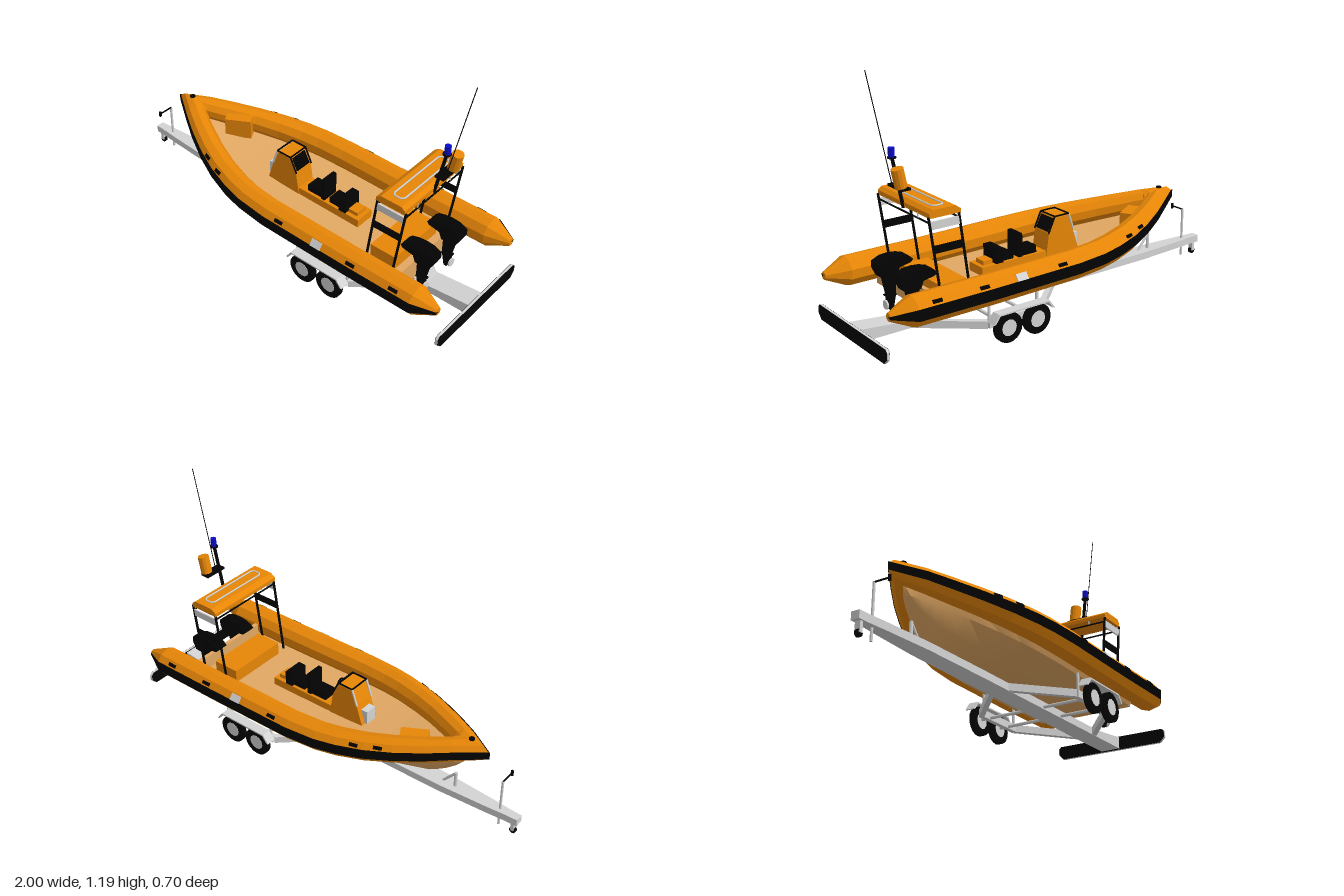
import * as THREE from 'three';
import { toCreasedNormals } from 'three/addons/utils/BufferGeometryUtils.js';

const mat = (name, color, side = THREE.FrontSide) => {
  const m = new THREE.MeshStandardMaterial({ color, side });
  m.name = name;
  return m;
};
const V = (x, y, z) => new THREE.Vector3(x, y, z);

export function createModel() {
  const root = new THREE.Group();
  root.name = 'boatOnTrailer';
  const orange = mat('orange', 0xea8807), tan = mat('tan', 0xe2a863, THREE.DoubleSide);
  const black = mat('black', 0x030303), grey = mat('lightGrey', 0xd4d4d4, THREE.DoubleSide);
  const blue = mat('blue', 0x0a0acc);

  const add = (name, geo, m, x = 0, y = 0, z = 0) => {
    const mesh = new THREE.Mesh(geo, m);
    mesh.name = name;
    mesh.position.set(x, y, z);
    root.add(mesh);
    return mesh;
  };
  // Box given by its limits
  const box = (name, m, x0, x1, y0, y1, z0, z1) =>
    add(name, new THREE.BoxGeometry(x1 - x0, y1 - y0, z1 - z0), m, (x0 + x1) / 2, (y0 + y1) / 2, (z0 + z1) / 2);
  const rod = (name, m, a, b, r, sides = 8) => {
    const mesh = add(name, new THREE.CylinderGeometry(r, r, a.distanceTo(b), sides), m);
    mesh.position.copy(a).add(b).multiplyScalar(0.5);
    mesh.quaternion.setFromUnitVectors(V(0, 1, 0), b.clone().sub(a).normalize());
    return mesh;
  };
  const bar = (name, m, a, b, w, h) => {
    const mesh = add(name, new THREE.BoxGeometry(w, h, a.distanceTo(b)), m);
    mesh.position.copy(a).add(b).multiplyScalar(0.5);
    mesh.lookAt(b);
    return mesh;
  };
  // Side outline (x, y) extruded across z
  const slab = (name, m, pts, z0, z1) => add(name, new THREE.ExtrudeGeometry(
    new THREE.Shape(pts.map(p => new THREE.Vector2(...p))), { depth: z1 - z0, bevelEnabled: false }), m, 0, 0, z0);
  // Skin over rows of cross-section points
  const loft = (rows, crease = 0) => {
    const n = rows[0].length, idx = [];
    for (let i = 0; i < rows.length - 1; i++) for (let j = 0; j < n - 1; j++) {
      const a = i * n + j, d = a + n;
      idx.push(a, a + 1, d + 1, a, d + 1, d);
    }
    let g = new THREE.BufferGeometry().setFromPoints(rows.flat());
    g.setIndex(idx);
    if (crease) return toCreasedNormals(g, crease);
    g = g.toNonIndexed();
    g.computeVertexNormals();
    return g;
  };

  // Tube centreline, stern to bow: x, y, z, radius
  const half = [
    [0.976, 0.255, 0.277, 0.001], [0.975, 0.255, 0.277, 0.018], [0.87, 0.255, 0.279, 0.069], [0.5, 0.255, 0.279, 0.069],
    [0.05, 0.261, 0.279, 0.068], [-0.1, 0.267, 0.268, 0.067], [-0.2, 0.275, 0.249, 0.066], [-0.32, 0.287, 0.214, 0.064],
    [-0.44, 0.303, 0.165, 0.061], [-0.56, 0.322, 0.104, 0.058], [-0.66, 0.341, 0.047, 0.054]];
  const path = [...half, [-0.73, 0.355, 0, 0.05], ...half.map(p => [p[0], p[1], -p[2], p[3]]).reverse()];
  const sweep = profile => loft(path.map(([x, y, z, r], i) => {
    const p = path[Math.max(i - 1, 0)], q = path[Math.min(i + 1, path.length - 1)];
    const n = V(q[2] - p[2], 0, p[0] - q[0]).normalize();
    const k = z === 0 ? 1.92 : 1;
    return profile.map(([deg, s]) => {
      const t = deg * Math.PI / 180;
      return V(x, y + r * s * Math.sin(t), z).addScaledVector(n, r * s * k * Math.cos(t));
    });
  }));
  add('inflatableTube', sweep(Array.from({ length: 11 }, (_, k) => [18 + 36 * k, 1])), orange);
  add('rubbingStrake', sweep([[-19, 0.98], [-19, 1.04], [20, 1.06], [23, 0.96]]), black);

  // Centreline values at a given x
  const at = x => {
    const pts = [...half.slice(1), [-0.73, 0.355, 0, 0.05]];
    let i = 0;
    while (i < pts.length - 2 && pts[i + 1][0] > x) i++;
    const a = pts[i], b = pts[i + 1], t = (x - a[0]) / (b[0] - a[0]);
    return { y: a[1] + (b[1] - a[1]) * t, z: a[2] + (b[2] - a[2]) * t, r: a[3] + (b[3] - a[3]) * t,
      dir: V(a[0] - b[0], 0, a[2] - b[2]).normalize() };
  };

  // Hull, deck and transom
  const stations = [[-0.728, 0.31], [-0.7, 0.26], [-0.66, 0.215], [-0.61, 0.172], [-0.56, 0.138], [-0.52, 0.114],
    [-0.46, 0.103], [-0.32, 0.1], [-0.2, 0.1], [-0.1, 0.1], [0.05, 0.1], [0.45, 0.104], [0.73, 0.172]];
  add('hull', loft(stations.map(([x, k]) => {
    const { y, z: w } = at(x);
    const chine = Math.max(y - 0.08, k + 0.006);
    const side = [[w, y - 0.02], [w * 0.88, chine], [w * 0.5, k + (chine - k) * 0.45]];
    return [...side.map(p => V(x, p[1], p[0])), V(x, k, 0), ...side.reverse().map(p => V(x, p[1], -p[0]))];
  }), 0.6), tan);
  add('deck', loft(stations.map(([x]) => {
    const { y, z } = at(x);
    return [V(x, y - 0.048, -z * 0.94), V(x, y - 0.048, z * 0.94)];
  })), tan);
  box('transom', tan, 0.715, 0.735, 0.175, 0.275, -0.245, 0.245);

  // Handles and valve patches on the tubes
  for (const s of [1, -1]) for (const [x, w, h, m] of [[-0.38, 0.04, 0.016, black], [-0.28, 0.04, 0.016, black],
    [0.14, 0.045, 0.016, black], [0.36, 0.055, 0.034, grey], [0.55, 0.045, 0.016, black], [0.78, 0.045, 0.016, black]]) {
    const { y, z, r, dir } = at(x), c = Math.cos(Math.PI / 5), e = Math.sin(Math.PI / 5);
    const t = V(dir.x, 0, dir.z * s);
    const n = V(-dir.z * c, e, dir.x * c * s);
    const patch = add('tubePatch', new THREE.BoxGeometry(w, 0.008, h), m);
    patch.quaternion.setFromRotationMatrix(new THREE.Matrix4().makeBasis(t, n, t.clone().cross(n)));
    patch.position.set(x, y, z * s).addScaledVector(n, r * 0.955);
  }
  add('bowCleat', new THREE.CylinderGeometry(0.014, 0.014, 0.006, 10), black, -0.73, 0.405, 0);
  const locker = add('bowLocker', new THREE.BoxGeometry(0.13, 0.1, 0.06), orange, -0.48, 0.305, -0.07);
  locker.rotation.y = Math.PI / 6;

  // Steering console
  slab('console', orange, [[-0.18, 0.2], [-0.14, 0.325], [-0.11, 0.4], [-0.035, 0.4], [0, 0.33], [0.02, 0.2]], -0.053, 0.053);
  bar('dashboard', black, V(-0.032, 0.396, 0), V(-0.002, 0.336, 0), 0.086, 0.008);
  for (const s of [1, -1]) {
    const z = s * 0.053;
    rod('windscreenFrame', grey, V(-0.142, 0.325, z), V(-0.114, 0.405, z), 0.005);
    rod('grabRail', black, V(-0.114, 0.407, z), V(-0.033, 0.407, z), 0.004);
    rod('grabRailEnd', black, V(-0.033, 0.407, z), V(0.003, 0.33, z), 0.004);
  }
  for (const x of [-0.114, -0.033]) rod('grabRailCross', black, V(x, 0.407, -0.053), V(x, 0.407, 0.053), 0.004);
  box('footPlate', grey, -0.185, -0.15, 0.22, 0.295, -0.03, 0.03);
  const wheel = add('steeringWheel', new THREE.TorusGeometry(0.022, 0.004, 6, 16), black, -0.005, 0.365, 0);
  wheel.rotation.set(0, Math.PI / 2, 0);

  // Straddle seats
  box('seatBase', orange, 0.015, 0.37, 0.2, 0.25, -0.05, 0.05);
  box('frontCushion', black, 0.06, 0.16, 0.25, 0.285, -0.035, 0.035);
  box('frontBackrest', black, 0.145, 0.165, 0.25, 0.362, -0.043, 0.043);
  box('rearCushion', black, 0.19, 0.27, 0.25, 0.28, -0.035, 0.035);
  box('rearBackrest', black, 0.255, 0.295, 0.25, 0.32, -0.05, 0.05);
  box('rearStep', orange, 0.3, 0.35, 0.25, 0.27, -0.03, 0.03);
  box('sternBench', orange, 0.525, 0.66, 0.2, 0.274, -0.155, 0.155);

  // Roof frame
  for (const s of [1, -1]) {
    const z = s * 0.205;
    rod('frontLeg', black, V(0.535, 0.21, z), V(0.587, 0.597, z), 0.006);
    rod('rearLeg', black, V(0.678, 0.21, z), V(0.733, 0.6, z), 0.006);
    slab('sidePanel', black, [[0.563, 0.44], [0.709, 0.44], [0.714, 0.473], [0.568, 0.473]], z - 0.004, z + 0.004);
    slab('sideBoard', grey, [[0.58, 0.545], [0.725, 0.545], [0.729, 0.58], [0.585, 0.58]], z - 0.004, z + 0.004);
  }
  for (const x of [0.587, 0.729]) {
    rod('crossRail', black, V(x, 0.575, -0.205), V(x, 0.575, 0.205), 0.004);
    for (const z of [-0.205, -0.117, 0.117, 0.205]) rod('roofPost', grey, V(x, 0.577, z), V(x, 0.6, z), 0.003);
  }
  slab('roof', orange, [[0.58, 0.595], [0.73, 0.595], [0.73, 0.615], [0.712, 0.63], [0.605, 0.63], [0.58, 0.613]], -0.21, 0.21);
  // Rounded handrail on the roof
  const ring = [[0.635, -0.155], [0.645, -0.17], [0.68, -0.17], [0.69, -0.155]];
  const railPts = [...ring, ...ring.map(([x, z]) => [x, -z]).reverse()].map(([x, z]) => V(x, 0.632, z));
  const rail = new THREE.CurvePath();
  railPts.forEach((p, i) => rail.add(new THREE.LineCurve3(p, railPts[(i + 1) % railPts.length])));
  add('roofRail', new THREE.TubeGeometry(rail, 96, 0.004, 6, true), grey);

  // Mast with radar drum, beacon and aerial
  rod('mast', black, V(0.728, 0.59, 0), V(0.775, 0.82, 0), 0.008);
  box('mastArm', black, 0.74, 0.785, 0.689, 0.699, -0.088, 0.026);
  const drum = add('radarDrum', toCreasedNormals(new THREE.CylinderGeometry(0.027, 0.027, 0.085, 12), 0.4), orange, 0.78, 0.742, -0.063);
  drum.rotation.z = -0.2;
  add('beaconBase', new THREE.CylinderGeometry(0.019, 0.019, 0.006, 12), black, 0.774, 0.814, 0);
  add('beacon', new THREE.CylinderGeometry(0.014, 0.014, 0.042, 12), blue, 0.776, 0.837, 0);
  rod('aerial', black, V(0.778, 0.7, 0), V(0.88, 1.19, 0), 0.002, 6);

  // Twin outboard engines
  for (const z of [0.087, -0.108]) {
    slab('engineCowl', black, [[0.658, 0.328], [0.675, 0.345], [0.71, 0.356], [0.75, 0.36], [0.79, 0.357], [0.828, 0.34],
      [0.828, 0.31], [0.81, 0.272], [0.738, 0.272], [0.725, 0.305], [0.67, 0.315]], z - 0.032, z + 0.032);
    slab('engineLeg', black, [[0.735, 0.28], [0.8, 0.28], [0.778, 0.18], [0.778, 0.14], [0.765, 0.108], [0.75, 0.11], [0.735, 0.18]], z - 0.01, z + 0.01);
    box('cavitationPlate', black, 0.725, 0.785, 0.175, 0.181, z - 0.015, z + 0.015);
    add('propeller', new THREE.CylinderGeometry(0.021, 0.021, 0.008, 12), grey, 0.782, 0.135, z).rotation.z = Math.PI / 2;
  }

  // Trailer spine
  const plan = [[-1, 0.02], [-0.93, 0.023], [-0.85, 0.03], [-0.6, 0.045], [-0.2, 0.05], [0.985, 0.05]];
  const outline = [...plan, ...plan.map(([x, z]) => [x, -z]).reverse()].map(p => new THREE.Vector2(...p));
  const spine = add('trailerSpine', new THREE.ExtrudeGeometry(new THREE.Shape(outline), { depth: 0.035, bevelEnabled: false }), grey, 0, 0.099, 0);
  spine.rotation.x = Math.PI / 2;
  slab('spineTail', grey, [[0.75, 0.098], [0.985, 0.098], [0.985, 0.122]], -0.05, 0.05);

  // Rear light board
  const board = (w, h, d) => {
    const c = 0.025, s = new THREE.Shape([[-w, -h + c], [-w + c, -h], [w - c, -h], [w, -h + c], [w, h - 0.012], [w - 0.012, h],
      [-w + 0.012, h], [-w, h - 0.012]].map(p => new THREE.Vector2(...p)));
    return new THREE.ExtrudeGeometry(s, { depth: d, bevelEnabled: false }).rotateY(Math.PI / 2);
  };
  add('lightBoardRim', board(0.298, 0.034, 0.011), grey, 0.987, 0.092, 0);
  add('lightBoardFace', board(0.296, 0.033, 0.015), black, 0.985, 0.092, 0);

  // Outriggers, wheels and mudguards
  for (const s of [1, -1]) {
    const a = [[-0.04, 0.03], [0.2, 0.25], [0.48, 0.25], [0.75, 0.03]].map(([x, z]) => V(x, 0.082, z * s));
    for (let i = 0; i < 3; i++) bar('outrigger', grey, a[i], a[i + 1], 0.025, 0.034);
    for (const x of [0.22, 0.475]) rod('hullSupport', grey, V(x, 0.09, s * 0.25), V(x, 0.185, s * 0.25), 0.007);
    slab('mudguard', grey, [[0.175, 0.105], [0.205, 0.145], [0.47, 0.145], [0.5, 0.105], [0.49, 0.105], [0.465, 0.138],
      [0.21, 0.138], [0.185, 0.105]], s * 0.299 - 0.024, s * 0.299 + 0.024);
    for (const x of [0.26, 0.413]) {
      const disc = (name, r, d, m, n) => {
        add(name, toCreasedNormals(new THREE.CylinderGeometry(r, r, d, n), 0.5), m, x, 0.069, s * 0.3).rotation.x = Math.PI / 2;
      };
      disc('tyre', 0.069, 0.024, black, 20);
      disc('wheelRim', 0.038, 0.027, grey, 12);
      rod('axle', grey, V(x, 0.075, 0), V(x, 0.075, s * 0.29), 0.008);
    }
  }

  // Bow post, jockey wheel and winding handle
  rod('bowPost', grey, V(-0.665, 0.09, 0), V(-0.665, 0.175, 0), 0.008);
  rod('bowStrut', grey, V(-0.665, 0.172, 0), V(-0.6, 0.095, 0), 0.006);
  box('jockeyFork', grey, -0.984, -0.968, 0.018, 0.07, -0.013, 0.013);
  add('jockeyWheel', new THREE.CylinderGeometry(0.016, 0.016, 0.016, 14), black, -0.976, 0.017, 0).rotation.x = Math.PI / 2;
  rod('jackPole', grey, V(-0.902, 0.008, 0), V(-0.902, 0.255, 0), 0.006);
  rod('jackCrank', black, V(-0.902, 0.253, 0), V(-0.902, 0.253, 0.07), 0.004);
  rod('jackGrip', black, V(-0.902, 0.24, 0.075), V(-0.902, 0.265, 0.075), 0.007);
  return root;
}
